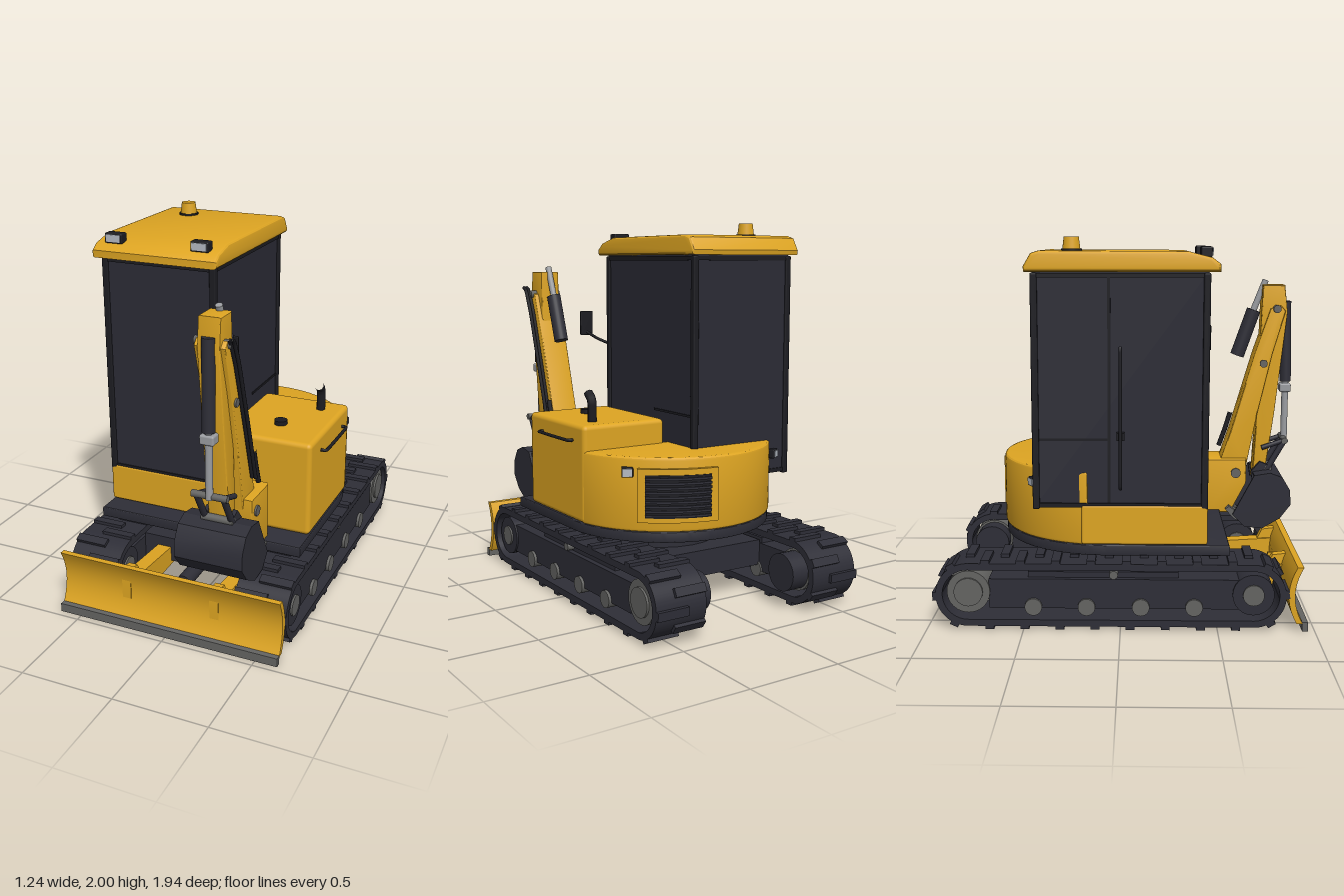
import * as THREE from 'three';
import { toCreasedNormals } from 'three/addons/utils/BufferGeometryUtils.js';
import { RoundedBoxGeometry } from 'three/addons/geometries/RoundedBoxGeometry.js';

const mat = (name, color) => Object.assign(new THREE.MeshStandardMaterial({ color }), { name });

export function createModel() {
  const yellow = mat('yellow paint', 0xdea522), dark = mat('dark steel', 0x2e2e37);
  const glass = mat('tinted glass', 0x2b2b35), black = mat('black rubber', 0x1c1c21);
  const gray = mat('gray steel', 0x646462), chrome = mat('bright metal', 0x9a9ca0), lens = mat('lamp lens', 0xb4bac4);
  const root = new THREE.Group();

  const add = (name, geo, m, parent = root) => {
    const o = new THREE.Mesh(geo, m);
    o.name = name;
    parent.add(o);
    return o;
  };
  // box given by its limits on each axis, optionally rounded
  const box = (name, m, [x0, x1], [y0, y1], [z0, z1], r = 0, parent = root) => {
    const s = [x1 - x0, y1 - y0, z1 - z0];
    const o = add(name, r ? new RoundedBoxGeometry(...s, 3, r) : new THREE.BoxGeometry(...s), m, parent);
    o.position.set((x0 + x1) / 2, (y0 + y1) / 2, (z0 + z1) / 2);
    return o;
  };
  // cylinder between two points
  const rod = (name, m, a, b, r, parent = root, r2 = r) => {
    const p = new THREE.Vector3(...a), d = new THREE.Vector3(...b).sub(p);
    const o = add(name, new THREE.CylinderGeometry(r2, r, d.length(), 24), m, parent);
    o.position.copy(p).addScaledVector(d, 0.5);
    o.quaternion.setFromUnitVectors(new THREE.Vector3(0, 1, 0), d.normalize());
    return o;
  };
  const tube = (name, m, pts, r, parent = root) => add(name, new THREE.TubeGeometry(
    new THREE.CatmullRomCurve3(pts.map(p => new THREE.Vector3(...p)), false, 'catmullrom', 0.2), 32, r, 8), m, parent);
  const extrude = (shape, depth, b) => new THREE.ExtrudeGeometry(shape, {
    depth: depth - 2 * b, bevelEnabled: b > 0, bevelSize: b, bevelThickness: b, bevelOffset: -b, bevelSegments: 3, curveSegments: 40,
  }).translate(0, 0, b);
  const poly = pts => new THREE.Shape(pts.map(p => new THREE.Vector2(...p)));
  // side profile in (z, y), swept from x0 to x1
  const side = (name, m, shape, x0, x1, b = 0, parent = root) => add(name, toCreasedNormals(
    extrude(shape, x1 - x0, b).rotateY(-Math.PI / 2).translate(x1, 0, 0), 0.5), m, parent);
  // plan outline in (x, -z), swept from y0 to y1
  const plan = (name, m, shape, y0, y1, b = 0) => add(name, toCreasedNormals(
    extrude(shape, y1 - y0, b).rotateX(-Math.PI / 2).translate(0, y0, 0), 0.5), m);

  // crawler tracks
  const ZF = 0.685, ZR = -0.785, YC = 0.185, R = 0.167, L = ZF - ZR;
  const stadium = (r, Cls) => {
    const s = new Cls();
    s.absarc(ZF, YC, r, -Math.PI / 2, Math.PI / 2);
    s.absarc(ZR, YC, r, Math.PI / 2, Math.PI * 1.5);
    s.closePath();
    return s;
  };
  const per = 2 * L + 2 * Math.PI * R, LUGS = 44;
  for (const s of [-1, 1]) {
    const g = new THREE.Group();
    g.name = s > 0 ? 'leftTrack' : 'rightTrack';
    root.add(g);
    const span = (a, b) => s > 0 ? [a, b] : [-b, -a];
    const belt = stadium(R, THREE.Shape);
    belt.holes.push(stadium(R - 0.035, THREE.Path));
    side('trackBelt', dark, belt, ...span(0.335, 0.62), 0, g);
    // tread lugs, alternating inner and outer halves
    for (let i = 0; i < LUGS; i++) {
      let d = i * per / LUGS, z, y, a = 0;
      const half = Math.PI * R;
      if (d < L) { z = ZR + d; y = YC + R; }
      else if (d < L + half) { a = (d - L) / R; z = ZF + R * Math.sin(a); y = YC + R * Math.cos(a); }
      else if (d < 2 * L + half) { a = Math.PI; z = ZF - (d - L - half); y = YC - R; }
      else { a = Math.PI + (d - 2 * L - half) / R; z = ZR + R * Math.sin(a); y = YC + R * Math.cos(a); }
      const lug = add('treadLug', new THREE.BoxGeometry(0.175, 0.034, 0.045), dark, g);
      lug.position.set(s * (i % 2 ? 0.5325 : 0.4225), y, z);
      lug.rotation.x = a;
    }
    box('trackFrame', dark, span(0.37, 0.59), [0.105, 0.262], [-0.68, 0.68], 0, g);
    box('frameTop', dark, span(0.38, 0.56), [0.26, 0.292], [-0.48, 0.3], 0, g);
    const wheel = (n, m, z, y, r, x0, x1) => rod(n, m, [s * x0, y, z], [s * x1, y, z], r, g);
    wheel('idler', dark, ZF, YC, 0.108, 0.36, 0.6);
    wheel('idlerHub', gray, ZF, YC, 0.055, 0.35, 0.61);
    wheel('sprocket', gray, ZR, 0.195, 0.112, 0.36, 0.6);
    wheel('sprocketHub', gray, ZR, 0.195, 0.075, 0.35, 0.612);
    wheel('travelMotor', dark, ZR, 0.195, 0.1, 0.26, 0.38);
    for (const z of [0.38, 0.105, -0.175, -0.45]) wheel('trackRoller', gray, z, 0.115, 0.045, 0.36, 0.605);
    wheel('carrierRoller', gray, -0.035, 0.287, 0.022, 0.36, 0.6);
    // dozer blade arms and gussets
    side('bladeArm', yellow, poly([[0.4, 0.12], [0.88, 0.1], [0.88, 0.25], [0.4, 0.22]]), ...span(0.21, 0.29), 0, g);
    side('bladeGusset', yellow, poly([[0.9, 0.06], [0.9, 0.31], [0.82, 0.3], [0.78, 0.22], [0.82, 0.07]]), ...span(0.225, 0.275), 0, g);
  }
  box('undercarriage', dark, [-0.37, 0.37], [0.14, 0.28], [-0.47, 0.47]);
  rod('turntable', dark, [0, 0.27, -0.035], [0, 0.39, -0.035], 0.32);

  // dozer blade
  const front = [], back = [];
  for (let i = 0; i <= 12; i++) {
    const t = i / 6 - 1, z = 0.895 + 0.042 * t * t;
    front.push([z, 0.19 + 0.15 * t]);
    back.unshift([z - 0.032, 0.19 + 0.15 * t]);
  }
  side('blade', yellow, poly([...front, ...back]), -0.62, 0.62);
  box('cuttingEdge', gray, [-0.62, 0.62], [0, 0.047], [0.935, 0.965]);
  rod('bladeCylinder', dark, [0, 0.21, 0.42], [0, 0.2, 0.74], 0.04);
  rod('bladeRod', chrome, [0, 0.2, 0.74], [0, 0.19, 0.88], 0.025);
  box('bladeLug', yellow, [-0.14, -0.12], [0.12, 0.27], [0.81, 0.88]);

  // upper structure
  const CZ = 0.07, BR = 0.585; // centre (as -z) and radius of the rounded tail
  const deck = new THREE.Shape();
  deck.moveTo(-0.58, -0.56);
  deck.lineTo(0.58, -0.56);
  deck.absarc(0, CZ, 0.578, 0, Math.PI);
  deck.closePath();
  plan('deckPlate', dark, deck, 0.385, 0.442, 0.008);
  const tail = new THREE.Shape();
  tail.absarc(0, CZ, BR, 0.17, Math.PI - 0.17);
  tail.closePath();
  plan('tailBody', yellow, tail, 0.44, 0.825, 0.018);
  box('engineHood', yellow, [0.08, 0.577], [0.44, 0.957], [-0.2, 0.42], 0.025);
  box('cabBase', yellow, [-0.582, 0.078], [0.445, 0.652], [-0.2, 0.445], 0.012);

  // arc-shaped panel on the tail
  const arcPanel = (name, m, r, a0, a1, y0, y1) => {
    const s = new THREE.Shape(), k = Math.PI / 180;
    s.absarc(0, CZ, r, a0 * k, a1 * k);
    s.absarc(0, CZ, 0.57, a1 * k, a0 * k, true);
    s.closePath();
    return plan(name, m, s, y0, y1);
  };
  arcPanel('grilleFrame', yellow, 0.608, 44, 84, 0.495, 0.77);
  arcPanel('grille', black, 0.612, 48, 80, 0.52, 0.74);
  for (let i = 0; i < 9; i++) arcPanel('grilleSlat', dark, 0.619, 48, 80, 0.525 + i * 0.0238, 0.537 + i * 0.0238);

  // tail lamps
  for (const s of [-1, 1]) {
    const lamp = new THREE.Group();
    lamp.name = 'tailLamp';
    box('lampHousing', black, [-0.03, 0.03], [-0.024, 0.024], [-0.02, 0.045], 0.006, lamp);
    box('lampLens', lens, [-0.024, 0.024], [-0.018, 0.018], [0.044, 0.049], 0, lamp);
    lamp.position.set(s * 0.455, 0.75, -0.43);
    lamp.rotation.y = Math.PI - s * 0.55;
    root.add(lamp);
  }

  // hood fittings
  tube('hoodHandle', black, [[0.57, 0.87, 0.26], [0.605, 0.87, 0.25], [0.605, 0.87, -0.07], [0.57, 0.87, -0.08]], 0.009);
  tube('exhaust', black, [[0.455, 0.95, -0.075], [0.455, 1.05, -0.075], [0.455, 1.08, -0.065], [0.455, 1.105, -0.035]], 0.025);
  rod('fuelCap', black, [0.33, 0.95, 0.21], [0.33, 0.98, 0.21], 0.035);

  // cab
  const X0 = -0.582, X1 = 0.062, Z0 = -0.447, Z1 = 0.445;
  box('cabGlass', glass, [X0 + 0.014, X1 - 0.012], [0.64, 1.83], [Z0 + 0.01, Z1 - 0.01]);
  for (const x of [X0, X1 - 0.035]) for (const z of [Z0, Z1 - 0.035])
    box('cabPost', black, [x, x + 0.035], [0.63, 1.825], [z, z + 0.035], 0.008);
  for (const y of [0.64, 1.802]) box('cabRail', black, [X0 + 0.004, X1 - 0.004], [y, y + 0.022], [Z0 + 0.004, Z1 - 0.004]);
  for (const x of [X0 + 0.009, X1 - 0.013]) box('sideBar', black, [x, x + 0.006], [0.985, 0.997], [Z0 + 0.02, -0.06]);
  box('doorSeam', black, [X0 + 0.009, X0 + 0.015], [0.65, 1.81], [-0.065, -0.05]);
  tube('doorHandrail', black, [[-0.57, 1.44, 0], [-0.61, 1.46, 0], [-0.61, 1.1, 0], [-0.61, 0.76, 0], [-0.57, 0.74, 0]], 0.009);
  box('doorLatch', black, [-0.6, -0.565], [0.99, 1.03], [-0.02, 0.02]);

  // roof, beacon and work lamps
  side('roof', yellow, poly([[0.492, 1.83], [0.492, 1.868], [0.45, 1.9], [0.33, 1.93], [-0.4, 1.933],
    [-0.44, 1.92], [-0.478, 1.855], [-0.474, 1.83]]), -0.61, 0.09, 0.018);
  rod('beaconRing', black, [-0.42, 1.925, -0.25], [-0.42, 1.942, -0.25], 0.053);
  rod('beacon', yellow, [-0.42, 1.935, -0.25], [-0.42, 2, -0.25], 0.046, root, 0.038);
  for (const x of [-0.503, -0.02]) {
    box('workLamp', black, [x - 0.05, x + 0.05], [1.9, 1.953], [0.395, 0.452], 0.008);
    box('workLampLens', lens, [x - 0.041, x + 0.041], [1.908, 1.946], [0.45, 0.457]);
  }

  // mirror
  tube('mirrorArm', black, [[0.05, 1.32, 0.44], [0.11, 1.35, 0.47], [0.17, 1.39, 0.49]], 0.008);
  box('mirror', black, [0.13, 0.21], [1.37, 1.51], [0.485, 0.497], 0.005);

  // swing bracket and boom
  side('swingBracket', yellow, poly([[0.485, 0.425], [0.62, 0.425], [0.71, 0.6], [0.71, 0.74], [0.485, 0.74]]), 0.135, 0.375, 0.01);
  side('boom', yellow, poly([[0.92, 1.59], [0.89, 1.62], [0.835, 1.6], [0.75, 1.35], [0.62, 0.9], [0.56, 0.72],
    [0.58, 0.64], [0.66, 0.62], [0.71, 0.68], [0.77, 1.0], [0.85, 1.35]]), 0.17, 0.33, 0.008);
  side('stick', yellow, poly([[0.79, 1.733], [0.915, 1.733], [0.932, 1.58], [0.87, 1.0], [0.82, 0.62],
    [0.75, 0.62], [0.77, 1.0], [0.785, 1.58]]), 0.193, 0.307, 0.008);
  const pin = (z, y, r, x0, x1) => rod('pivotPin', gray, [x0, y, z], [x1, y, z], r);
  pin(0.65, 0.66, 0.028, 0.125, 0.385);
  pin(0.8, 1.29, 0.022, 0.16, 0.34);
  pin(0.87, 1.6, 0.022, 0.155, 0.345);
  pin(0.93, 0.845, 0.018, 0.155, 0.345);
  pin(0.84, 0.68, 0.02, 0.165, 0.335);

  // hydraulic cylinders and hoses
  rod('stickRod', chrome, [0.25, 1.76, 0.81], [0.25, 1.58, 0.74], 0.018);
  rod('stickCylinder', dark, [0.25, 1.59, 0.745], [0.25, 1.33, 0.655], 0.04);
  rod('bucketCylinder', dark, [0.25, 1.64, 0.925], [0.25, 1.18, 0.935], 0.033);
  box('cylinderCollar', chrome, [0.212, 0.288], [1.12, 1.17], [0.9, 0.965], 0.01);
  rod('bucketRod', chrome, [0.25, 1.19, 0.935], [0.25, 0.83, 0.935], 0.019);
  for (const x of [0.343, 0.362])
    tube('hose', black, [[x, 1.64, 0.92], [x, 1.62, 0.89], [x, 1.48, 0.83], [x, 1.1, 0.71], [x, 0.83, 0.63]], 0.01);
  tube('baseHose', black, [[0.35, 0.98, 0.63], [0.35, 0.88, 0.6], [0.35, 0.78, 0.565]], 0.014);

  // bucket linkage
  for (const x of [0.178, 0.322]) {
    rod('bucketLink', dark, [x, 0.845, 0.93], [x, 0.67, 0.83], 0.017);
    rod('guideLink', dark, [x, 0.845, 0.93], [x, 0.8, 0.8], 0.014);
    side('bucketEar', dark, poly([[0.86, 0.66], [0.84, 0.7], [0.79, 0.72], [0.74, 0.66], [0.75, 0.6], [0.85, 0.6]]), x - 0.012, x + 0.012);
  }

  // open bucket with teeth
  const shell = [[0.75, 0.66], [0.84, 0.675], [0.91, 0.65], [0.955, 0.575], [0.96, 0.49], [0.9, 0.41], [0.8, 0.35], [0.7, 0.36], [0.63, 0.43]];
  const inner = shell.map(([z, y]) => [0.77 + (z - 0.77) * 0.93, 0.52 + (y - 0.52) * 0.92]).reverse();
  side('bucketShell', dark, poly([...shell, ...inner]), 0.065, 0.43);
  for (const x of [0.065, 0.415]) side('bucketSide', dark, poly(shell), x, x + 0.015);
  for (let i = 0; i < 4; i++) {
    const x = 0.085 + i * 0.095;
    side('bucketTooth', gray, poly([[0.68, 0.385], [0.64, 0.4], [0.59, 0.455], [0.61, 0.475], [0.67, 0.43]]), x, x + 0.04);
  }
  return root;
}
